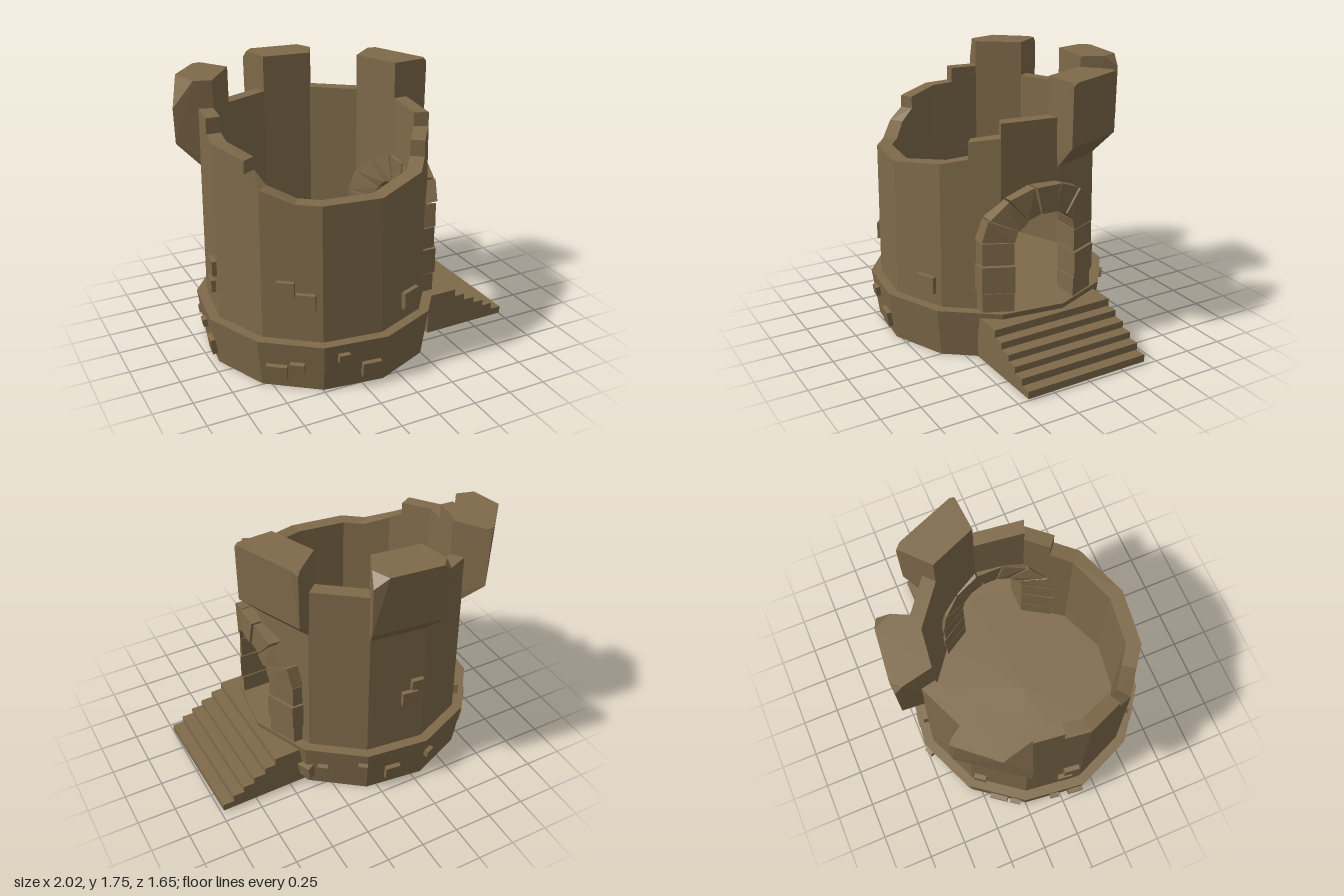
import * as THREE from 'three';
import { mergeGeometries } from 'three/addons/utils/BufferGeometryUtils.js';
import { ConvexGeometry } from 'three/addons/geometries/ConvexGeometry.js';

const RAD = Math.PI / 180;
const FIRST = 22; // angle of one corner of the twelve-sided plan; angles run from +x to +z

// Centre angle of the facet that holds angle a
const facet = (a) => Math.floor((a - FIRST) / 30) * 30 + FIRST + 15;
// Distance to the twelve-sided outline with corner radius R, on the facet centred at f
const outline = (R, a, f) => (R * Math.cos(15 * RAD)) / Math.cos((a - f) * RAD);
const polar = (r, a, y) => new THREE.Vector3(r * Math.cos(a * RAD), y, r * Math.sin(a * RAD));
const wallR = (y) => 0.727 - 0.012 * (y - 0.32);
const INNER = 0.62;

// Ruined rim: [start angle, end angle, start height, end height]
const RIM = [
  [-158, -128, 1.21, 1.21], [-128, -98, 1.51, 1.51], [-98, -68, 1.21, 1.21],
  [-68, -38, 1.51, 1.51], [-38, -8, 1.21, 1.21], [-8, 22, 1.51, 1.51],
  [22, 38, 1.42, 1.39], [38, 52, 1.285, 1.25], [52, 82, 1.25, 1.2],
  [82, 125, 1.2, 1.2], [125, 142, 1.2, 1.27], [142, 151, 1.27, 1.34],
  [151, 172, 1.42, 1.46], [172, 185, 1.46, 1.47], [185, 202, 1.57, 1.57],
];
const DOOR = 25; // half angle of the hole behind the arch stones

function wallGeometry() {
  const cuts = new Set(RIM.map((r) => r[0]));
  cuts.add(202);
  for (let a = -158; a < 202; a += 30) cuts.add(a);
  for (const k of [-1, -0.9, -0.7, -0.4, 0, 0.4, 0.7, 0.9, 1]) cuts.add(k * DOOR);
  const list = [...cuts].sort((p, q) => p - q);
  const parts = [];
  for (let i = 0; i < list.length - 1; i++) {
    const mid = (list[i] + list[i + 1]) / 2;
    const f = facet(mid);
    const [s, e, t0, t1] = RIM.find((r) => mid > r[0] && mid < r[1]);
    const pts = [];
    for (const a of [list[i], list[i + 1]]) {
      const top = t0 + ((t1 - t0) * (a - s)) / (e - s);
      const bottom = Math.abs(mid) < DOOR
        ? 0.78 + 0.25 * Math.sqrt(Math.max(0, 1 - (a / DOOR) ** 2)) : 0.32;
      for (const y of [bottom, top]) {
        pts.push(polar(outline(wallR(y), a, f), a, y), polar(outline(INNER, a, f), a, y));
      }
    }
    parts.push(new ConvexGeometry(pts));
  }
  return mergeGeometries(parts);
}

// Overhanging battlement on one facet; chips = [cut along angle, inwards, down] for each outer top corner
function battlement(a0, chips) {
  const pts = [];
  [a0, a0 + 30].forEach((a, i) => {
    const dir = i ? -1 : 1;
    const out = a + dir * -1;
    const [da, dr, dy] = chips[i];
    pts.push(polar(INNER, a, 1.2), polar(wallR(1.2), a, 1.2), polar(0.86, out, 1.35));
    pts.push(polar(INNER, a, 1.745));
    pts.push(polar(0.865, out + dir * da, 1.745), polar(0.865 - dr, out, 1.745), polar(0.865, out, 1.745 - dy));
  });
  return new ConvexGeometry(pts);
}

// Arch stone from four (sideways, height) corners, bent round the tower
function archStone(corners, outer) {
  const pts = [];
  for (const [s, y] of corners) {
    for (const R of [0.59, outer]) pts.push(new THREE.Vector3(Math.sqrt(R * R - s * s), y, s));
  }
  return new ConvexGeometry(pts);
}

export function createModel() {
  const stone = new THREE.MeshStandardMaterial({ color: 0x7f6a4a });
  stone.name = 'brown stone';
  const model = new THREE.Group();
  model.name = 'ruinedTower';
  const tower = new THREE.Group();
  tower.name = 'tower';
  tower.position.set(-0.213, 0, 0.03);
  model.add(tower);
  const add = (parent, name, geometry) => {
    const mesh = new THREE.Mesh(geometry, stone);
    mesh.name = name;
    parent.add(mesh);
    return mesh;
  };

  // Flared plinth, whose top is also the floor
  const plinth = new THREE.CylinderGeometry(0.793, 0.748, 0.32, 12, 1, false, 8 * RAD).toNonIndexed();
  plinth.computeVertexNormals();
  add(tower, 'plinth', plinth).position.y = 0.16;

  add(tower, 'wall', wallGeometry());

  // Battlements, each with its own broken corners
  add(tower, 'leftBattlement', battlement(-38, [[3, 0.03, 0.03], [2, 0.02, 0.02]]));
  add(tower, 'backBattlement', battlement(-98, [[4, 0.05, 0.05], [6, 0.09, 0.07]]));
  add(tower, 'rightBattlement', battlement(-158, [[11, 0.13, 0.17], [3, 0.03, 0.04]]));

  // Doorway: jamb stones on both sides, then seven arch stones
  const arch = new THREE.Group();
  arch.name = 'doorArch';
  tower.add(arch);
  const gap = 0.004;
  const levels = [0.32, 0.45, 0.63, 0.78];
  for (const side of [-1, 1]) {
    for (let i = 0; i < 3; i++) {
      const lo = levels[i] + gap, hi = levels[i + 1] - gap;
      const w = 0.395 + 0.008 * (i % 2);
      add(arch, 'jambStone', archStone(
        [[side * 0.215, lo], [side * w, lo], [side * w, hi], [side * 0.215, hi]], 0.765 + 0.012 * (i % 2)));
    }
  }
  for (let i = 0; i < 7; i++) {
    const t0 = (i * Math.PI) / 7 + 0.015, t1 = ((i + 1) * Math.PI) / 7 - 0.015;
    const at = (t, a, b) => [a * Math.cos(t), 0.78 + b * Math.sin(t)];
    add(arch, 'archStone', archStone(
      [at(t0, 0.215, 0.17), at(t0, 0.4, 0.345), at(t1, 0.4, 0.345), at(t1, 0.215, 0.17)], 0.77 + 0.01 * (i % 2)));
  }

  // Protruding bricks: [angle, height, width, tall]
  const addBricks = (name, rows, radiusAt, tilt) => {
    for (const [a, y, w, h] of rows) {
      const f = facet(a);
      const brick = add(tower, name, new THREE.BoxGeometry(w, h, 0.06));
      brick.position.copy(polar(outline(radiusAt(y), a, f), a, y));
      brick.rotation.set(tilt, (90 - f) * RAD, 0, 'YXZ');
    }
  };
  addBricks('plinthBrick', [
    [134, 0.115, 0.13, 0.1], [124, 0.16, 0.09, 0.065], [103, 0.23, 0.07, 0.06], [89, 0.115, 0.12, 0.1],
    [-37, 0.12, 0.11, 0.1], [-46, 0.16, 0.07, 0.06], [-66, 0.22, 0.06, 0.05], [-81, 0.12, 0.1, 0.1],
    [-100, 0.2, 0.06, 0.05], [-144, 0.11, 0.12, 0.1], [-153, 0.16, 0.07, 0.06], [187, 0.2, 0.06, 0.05],
    [175, 0.12, 0.1, 0.1],
  ], (y) => 0.748 + 0.14 * y, 0.14);
  addBricks('wallBrick', [
    [130, 0.66, 0.11, 0.1], [120, 0.585, 0.12, 0.11], [61, 0.455, 0.14, 0.11],
    [-94, 0.79, 0.08, 0.07], [-90, 0.69, 0.1, 0.1], [-133, 0.44, 0.08, 0.07],
    [178, 0.64, 0.1, 0.1], [181, 0.5, 0.09, 0.08],
  ], wallR, 0);

  // Solid flight of six steps
  const profile = new THREE.Shape();
  profile.moveTo(0.4, 0.01);
  let px = 0.4;
  for (const [x, y] of [[0.61, 0.285], [0.685, 0.235], [0.765, 0.19], [0.84, 0.147], [0.915, 0.105], [0.99, 0.058]]) {
    profile.lineTo(px, y);
    profile.lineTo(x, y);
    px = x;
  }
  profile.lineTo(px, 0.01);
  const steps = new THREE.ExtrudeGeometry(profile, { depth: 0.85, bevelEnabled: false });
  steps.translate(0, 0, -0.4);
  add(model, 'steps', steps).rotation.y = 0.02;

  return model;
}
